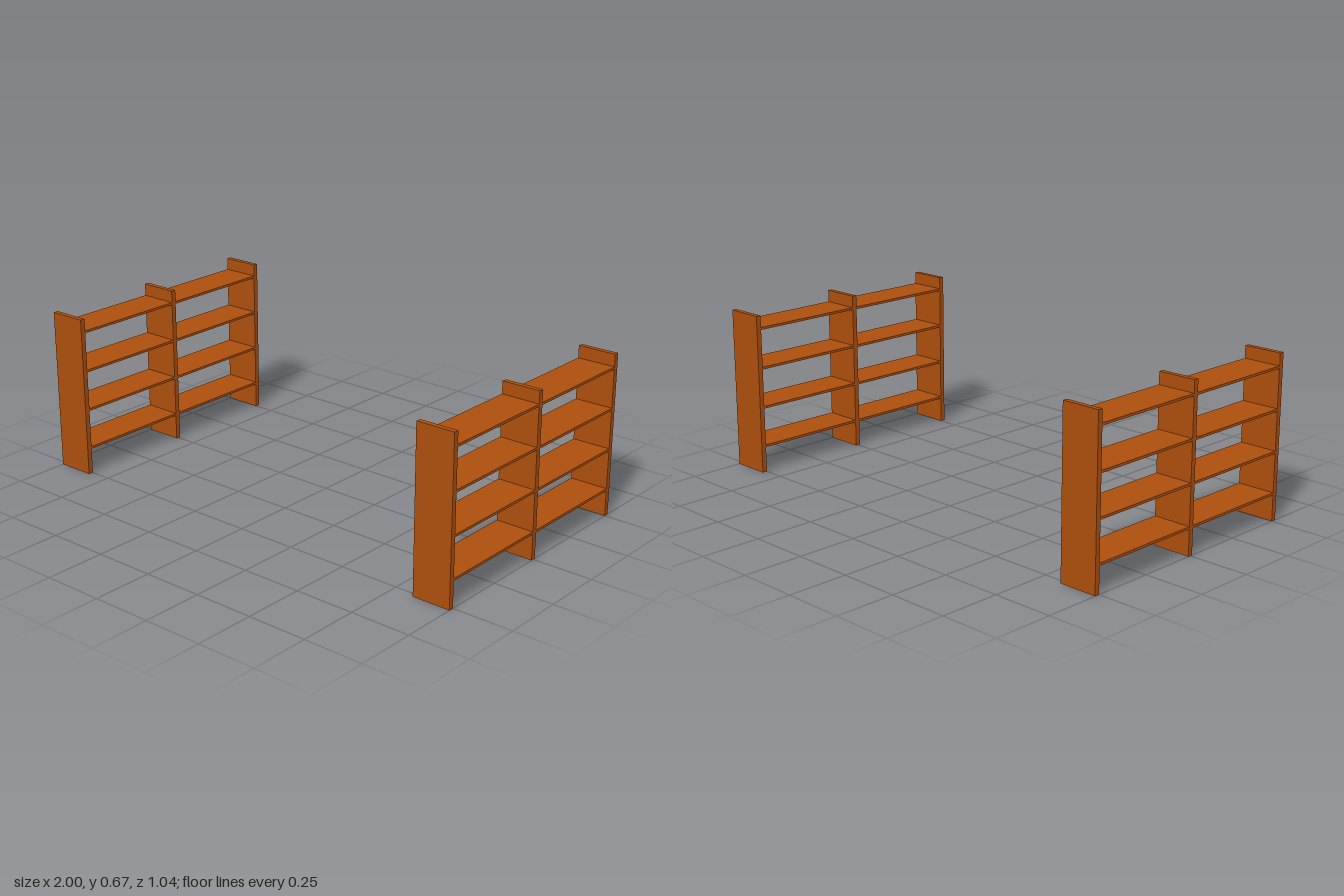
import * as THREE from 'three';

const wood = new THREE.MeshStandardMaterial({ color: 0xad4e0d });
wood.name = 'orange brown wood';

const DEPTH = 0.16, HEIGHT = 0.667, PANEL = 0.021, SPACING = 0.51;
const SHELF = 0.01, SHELF_HEIGHTS = [0.111, 0.278, 0.445, 0.612];

function board(parent, name, height, length, y, z) {
  const mesh = new THREE.Mesh(new THREE.BoxGeometry(DEPTH, height, length), wood);
  mesh.name = name;
  mesh.position.set(0, y, z);
  parent.add(mesh);
}

// Open two-bay bookcase running along z
function createBookcase(name) {
  const bookcase = new THREE.Group();
  bookcase.name = name;

  // Upright panels: two ends and a divider
  ['backPanel', 'middlePanel', 'frontPanel'].forEach((panel, i) =>
    board(bookcase, panel, HEIGHT, PANEL, HEIGHT / 2, (i - 1) * SPACING));

  // Shelves between neighbouring panels
  for (const side of [-1, 1]) {
    SHELF_HEIGHTS.forEach((y, i) =>
      board(bookcase, `${side < 0 ? 'back' : 'front'}Shelf${i + 1}`, SHELF, SPACING - PANEL, y, side * SPACING / 2));
  }
  return bookcase;
}

export function createModel() {
  const model = new THREE.Group();
  model.name = 'bookcasePair';
  for (const side of [-1, 1]) {
    const bookcase = createBookcase(side < 0 ? 'rightBookcase' : 'leftBookcase');
    bookcase.position.x = side * (1 - DEPTH / 2);
    model.add(bookcase);
  }
  return model;
}
